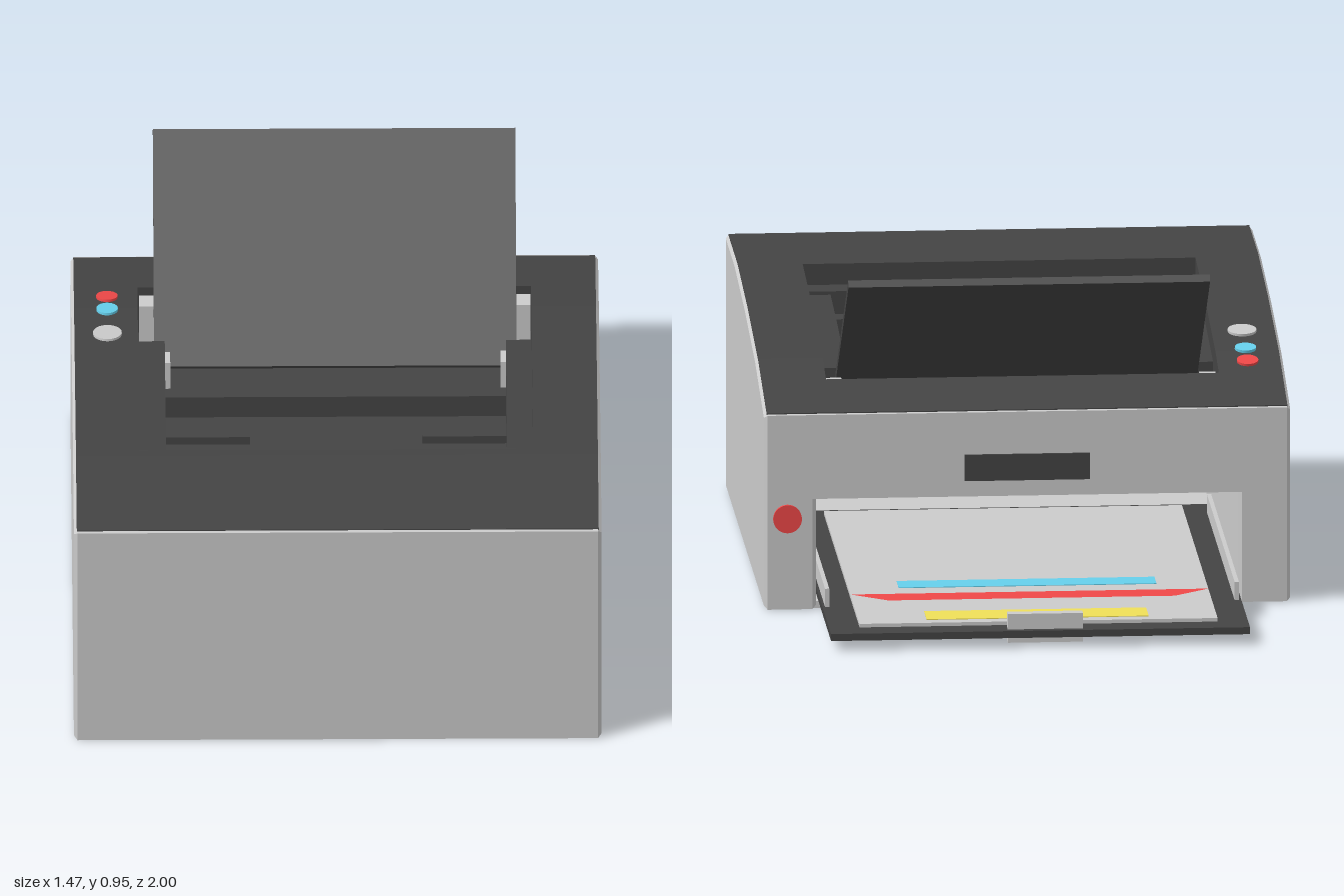
import * as THREE from 'three';

const mat = (color) => new THREE.MeshStandardMaterial({ color, side: THREE.DoubleSide });
const light = mat(0xcccccc), dark = mat(0x444444), red = mat(0xf04848),
  cyan = mat(0x66d0ec), yellow = mat(0xf0e058);

// Side outline of the casing top, as [z, y] from rear to front
const outline = [[-0.49, 0.555], [-0.15, 0.635], [0.25, 0.69], [0.65, 0.725], [1, 0.725]];
function topAt(z) {
  for (let i = 1; i < outline.length; i++) {
    const [z0, y0] = outline[i - 1], [z1, y1] = outline[i];
    if (z <= z1) return y0 + (y1 - y0) * (z - z0) / (z1 - z0);
  }
  return 0.725;
}

export function createModel() {
  const model = new THREE.Group();

  function add(name, geometry, material, x = 0, y = 0, z = 0) {
    const mesh = new THREE.Mesh(geometry, material);
    mesh.name = name;
    mesh.position.set(x, y, z);
    model.add(mesh);
    return mesh;
  }
  // Box given by its limits on each axis
  const box = (name, material, x0, x1, y0, y1, z0, z1) =>
    add(name, new THREE.BoxGeometry(x1 - x0, y1 - y0, z1 - z0), material,
      (x0 + x1) / 2, (y0 + y1) / 2, (z0 + z1) / 2);
  // Slab from x0 to x1 whose top follows the casing outline
  function slab(name, material, x0, x1, z0, z1, bottom, lift = 0, bevel = 0) {
    const zs = [z0, ...outline.map((p) => p[0]).filter((z) => z > z0 && z < z1), z1];
    const shape = new THREE.Shape([
      ...zs.map((z) => new THREE.Vector2(-z, topAt(z) + lift)),
      new THREE.Vector2(-z1, bottom), new THREE.Vector2(-z0, bottom)]);
    const geometry = new THREE.ExtrudeGeometry(shape, {
      depth: x1 - x0 - 2 * bevel, bevelEnabled: bevel > 0, bevelThickness: bevel,
      bevelSize: bevel, bevelOffset: -bevel, bevelSegments: 1 });
    geometry.rotateY(Math.PI / 2);
    return add(name, geometry, material, x0 + bevel);
  }

  // Casing: side walls, front, bottom and rear header above the tray opening
  slab('rightWall', light, -0.735, -0.59, -0.49, 1, 0, 0, 0.01);
  slab('leftWall', light, 0.59, 0.735, -0.49, 1, 0, 0, 0.01);
  box('frontPanel', light, -0.725, 0.725, 0, 0.725, 0.95, 1);
  box('bottomPlate', light, -0.725, 0.725, 0, 0.02, -0.48, 0.99);
  slab('rearHeader', light, -0.61, 0.61, -0.49, -0.45, 0.315);
  box('innerDeck', dark, -0.6, 0.6, 0.318, 0.45, -0.46, 0.96);

  // Dark top panel framing the recess
  slab('topFront', dark, -0.727, 0.727, 0.62, 0.99, 0.4, 0.003);
  slab('topRear', dark, -0.727, 0.727, -0.482, -0.28, 0.4, 0.003);
  slab('topRight', dark, -0.727, -0.55, -0.28, 0.62, 0.4, 0.003);
  slab('topLeft', dark, 0.547, 0.727, -0.28, 0.62, 0.4, 0.003);

  // Stepped interior of the recess: [z0, z1, height]
  for (const [z0, z1, y] of [[0.54, 0.62, 0.665], [0.475, 0.54, 0.6], [0.37, 0.475, 0.54],
    [0.3, 0.37, 0.5], [0.07, 0.11, 0.52]]) {
    box('recessStep', dark, -0.55, 0.55, 0.44, y, z0, z1);
  }
  for (const s of [-1, 1]) {
    const mirrored = (name, m, a, b, ...rest) =>
      box(name, m, Math.min(s * a, s * b), Math.max(s * a, s * b), ...rest);
    const [a, b] = s < 0 ? [-0.55, -0.475] : [0.475, 0.55];
    slab('recessLedge', dark, a, b, -0.06, 0.54, 0.44, -0.06);
    mirrored('guideBar', dark, 0.24, 0.475, 0.44, 0.525, 0.265, 0.3);
    mirrored('paperTab', dark, 0.19, 0.27, 0.53, 0.56, 0.452, 0.475);
    mirrored('lidBracket', light, 0.5, 0.545, 0.44, 0.595, -0.26, -0.21);
    mirrored('lidHinge', light, 0.46, 0.478, 0.44, 0.56, -0.06, 0.005);
  }
  // Row of small pins
  for (let i = 0; i < 17; i++) {
    add('pin', new THREE.CylinderGeometry(0.007, 0.007, 0.01, 10), light,
      -0.42 + i * 0.0533, 0.542, 0.41);
  }

  // Raised paper support
  const support = add('paperSupport', new THREE.BoxGeometry(1.01, 0.022, 0.684), dark,
    0, 0.735, -0.29);
  support.rotation.x = Math.atan2(0.42, 0.54);

  // Control buttons following the slope
  for (const [z, r, m] of [[-0.215, 0.03, red], [-0.135, 0.03, cyan], [0, 0.04, light]]) {
    const button = add('controlButton', new THREE.CylinderGeometry(r, r, 0.012, 32), m,
      -0.635, topAt(z) + 0.004, z);
    button.rotation.x = -Math.atan2(topAt(z + 0.02) - topAt(z - 0.02), 0.04);
  }

  // Rear button and plate
  const rearButton = add('rearButton', new THREE.CylinderGeometry(0.04, 0.04, 0.02, 32), red,
    0.67, 0.26, -0.489);
  rearButton.rotation.x = Math.PI / 2;
  box('rearPlate', dark, -0.175, 0.175, 0.36, 0.435, -0.496, -0.48);

  // Extended tray with rails, paper bed and handle
  box('tray', dark, -0.585, 0.585, 0.028, 0.048, -1, 0.5);
  box('paperBed', light, -0.5, 0.5, 0.045, 0.058, -0.925, 0.45);
  for (const x of [-0.572, 0.572]) box('trayRail', light, x - 0.006, x + 0.006, 0.04, 0.1, -0.67, 0.4);
  box('trayHandle', light, -0.12, 0.09, 0.01, 0.092, -0.98, -0.95);

  // Coloured markings on the paper bed
  box('yellowMark', yellow, -0.31, 0.31, 0.056, 0.06, -0.89, -0.79);
  box('cyanMark', cyan, -0.36, 0.36, 0.056, 0.06, -0.5, -0.42);
  const band = new THREE.ShapeGeometry(new THREE.Shape([[-0.5, 0.575], [0.5, 0.575],
    [0.4, 0.655], [-0.4, 0.655]].map(([x, y]) => new THREE.Vector2(x, y))));
  band.rotateX(-Math.PI / 2);
  add('redMark', band, red, 0, 0.06, 0);

  return model;
}
